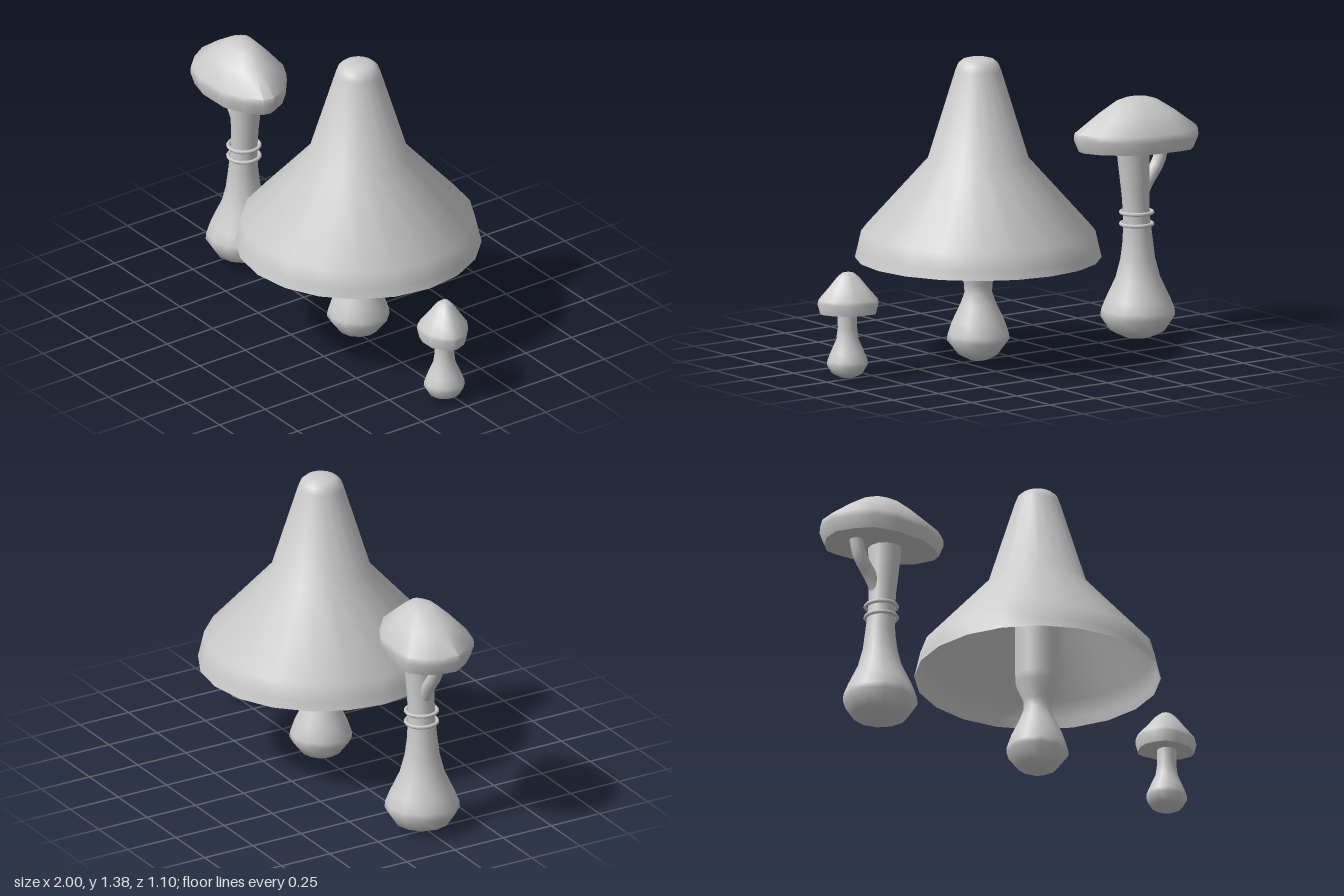
import * as THREE from 'three';
import { mergeVertices, toCreasedNormals } from 'three/addons/utils/BufferGeometryUtils.js';

const grey = new THREE.MeshStandardMaterial({ color: 0xcccccc });
const greyBothSides = new THREE.MeshStandardMaterial({ color: 0xcccccc, side: THREE.DoubleSide });

// Lopsided unit outline shared by the two small caps, as [x, z], running front to right to back
const OUTLINE = [
  [-0.2, 1], [0.38, 0.98], [0.72, 0.75], [0.97, 0.45], [1, 0.2],
  [0.83, -0.3], [0.48, -0.7], [0.2, -0.9], [-0.41, -0.98], [-0.65, -0.95],
  [-0.83, -0.7], [-0.97, -0.35], [-1, 0.1], [-0.83, 0.5], [-0.59, 0.85],
];

const lathe = (profile, sides) =>
  new THREE.LatheGeometry(profile.map(([r, y]) => new THREE.Vector2(r, y)), sides);

// Weld the seam and smooth everything except sharp edges
function smooth(geometry, crease = 0.9) {
  geometry.deleteAttribute('uv');
  geometry.deleteAttribute('normal');
  return toCreasedNormals(mergeVertices(geometry), crease);
}

function addMesh(parent, name, geometry, x = 0, y = 0, z = 0, material = grey) {
  const mesh = new THREE.Mesh(geometry, material);
  mesh.name = name;
  mesh.position.set(x, y, z);
  parent.add(mesh);
  return mesh;
}

// Closed cap: a profile of [scale, y] swept around the lopsided outline
function lopsidedCap(profile, halfX, halfZ) {
  const n = OUTLINE.length;
  const geometry = lathe(profile, n);
  const pos = geometry.attributes.position;
  for (let i = 0; i < pos.count; i++) {
    const [ox, oz] = OUTLINE[Math.floor(i / profile.length) % n];
    const [scale, y] = profile[i % profile.length];
    pos.setXYZ(i, ox * scale * halfX, y, oz * scale * halfZ);
  }
  return smooth(geometry);
}

function createLargeMushroom() {
  const group = new THREE.Group();
  group.name = 'largeMushroom';
  group.position.x = 0.165;
  // Hollow bell-shaped cap
  addMesh(group, 'largeCap', smooth(lathe([
    [0.55, 0.47], [0.54, 0.51], [0.522, 0.59], [0.225, 0.92], [0.102, 1.32],
    [0.09, 1.35], [0.07, 1.367], [0.04, 1.375], [0, 1.377],
  ], 20), 1.2), 0, 0, 0, greyBothSides);
  addMesh(group, 'largeStem', smooth(lathe([
    [0, 0], [0.04, 0.005], [0.09, 0.03], [0.14, 0.095], [0.138, 0.12], [0.118, 0.18],
    [0.08, 0.26], [0.062, 0.31], [0.064, 0.35], [0.098, 0.43], [0.1, 0.47], [0.1, 0.95], [0, 0.95],
  ], 12)));
  return group;
}

function createTallMushroom() {
  const group = new THREE.Group();
  group.name = 'tallMushroom';
  group.position.x = -0.715;
  // Bulbous stem leaning slightly outward at the top
  const stem = lathe([
    [0, 0], [0.06, 0.005], [0.125, 0.035], [0.168, 0.1], [0.165, 0.13], [0.145, 0.18], [0.1, 0.275],
    [0.078, 0.36], [0.068, 0.44], [0.06, 0.55], [0.062, 0.65], [0.07, 0.78], [0.076, 0.88], [0, 0.88],
  ], 12);
  const pos = stem.attributes.position;
  for (let i = 0; i < pos.count; i++) {
    const lean = THREE.MathUtils.clamp((pos.getY(i) - 0.45) / 0.42, 0, 1);
    pos.setX(i, pos.getX(i) + lean * 0.027);
  }
  addMesh(group, 'tallStem', smooth(stem));

  // Side branch reaching up into the cap
  const path = new THREE.CatmullRomCurve3([
    [0.005, 0.6], [-0.05, 0.7], [-0.115, 0.79], [-0.138, 0.88],
  ].map(([x, y]) => new THREE.Vector3(x, y, 0)));
  addMesh(group, 'stemBranch', new THREE.TubeGeometry(path, 8, 0.031, 10));

  // Thin rings around the neck
  for (const y of [0.517, 0.57]) {
    const ring = addMesh(group, 'stemRing', new THREE.TorusGeometry(0.071, 0.009, 6, 16), 0.006, y, 0);
    ring.rotation.x = Math.PI / 2;
  }

  addMesh(group, 'tallCap', lopsidedCap([
    [0, 0.86], [0.92, 0.86], [1, 0.915], [0.99, 0.945], [0.62, 1.025],
    [0.34, 1.077], [0.19, 1.09], [0, 1.092],
  ], 0.29, 0.198), 0.005, 0, 0.002);
  return group;
}

function createSmallMushroom() {
  const group = new THREE.Group();
  group.name = 'smallMushroom';
  group.position.set(0.865, 0, 0.03);
  addMesh(group, 'smallStem', smooth(lathe([
    [0, 0], [0.035, 0.004], [0.07, 0.022], [0.092, 0.06], [0.09, 0.08],
    [0.074, 0.12], [0.05, 0.175], [0.043, 0.23], [0.045, 0.31], [0, 0.31],
  ], 12)));
  addMesh(group, 'smallCap', lopsidedCap([
    [0, 0.295], [0.91, 0.295], [1, 0.343], [0.97, 0.36], [0.65, 0.41],
    [0.37, 0.457], [0.2, 0.476], [0, 0.482],
  ], 0.134, 0.116), 0, 0, -0.004);
  return group;
}

export function createModel() {
  const model = new THREE.Group();
  model.name = 'mushrooms';
  model.add(createLargeMushroom(), createTallMushroom(), createSmallMushroom());
  return model;
}
